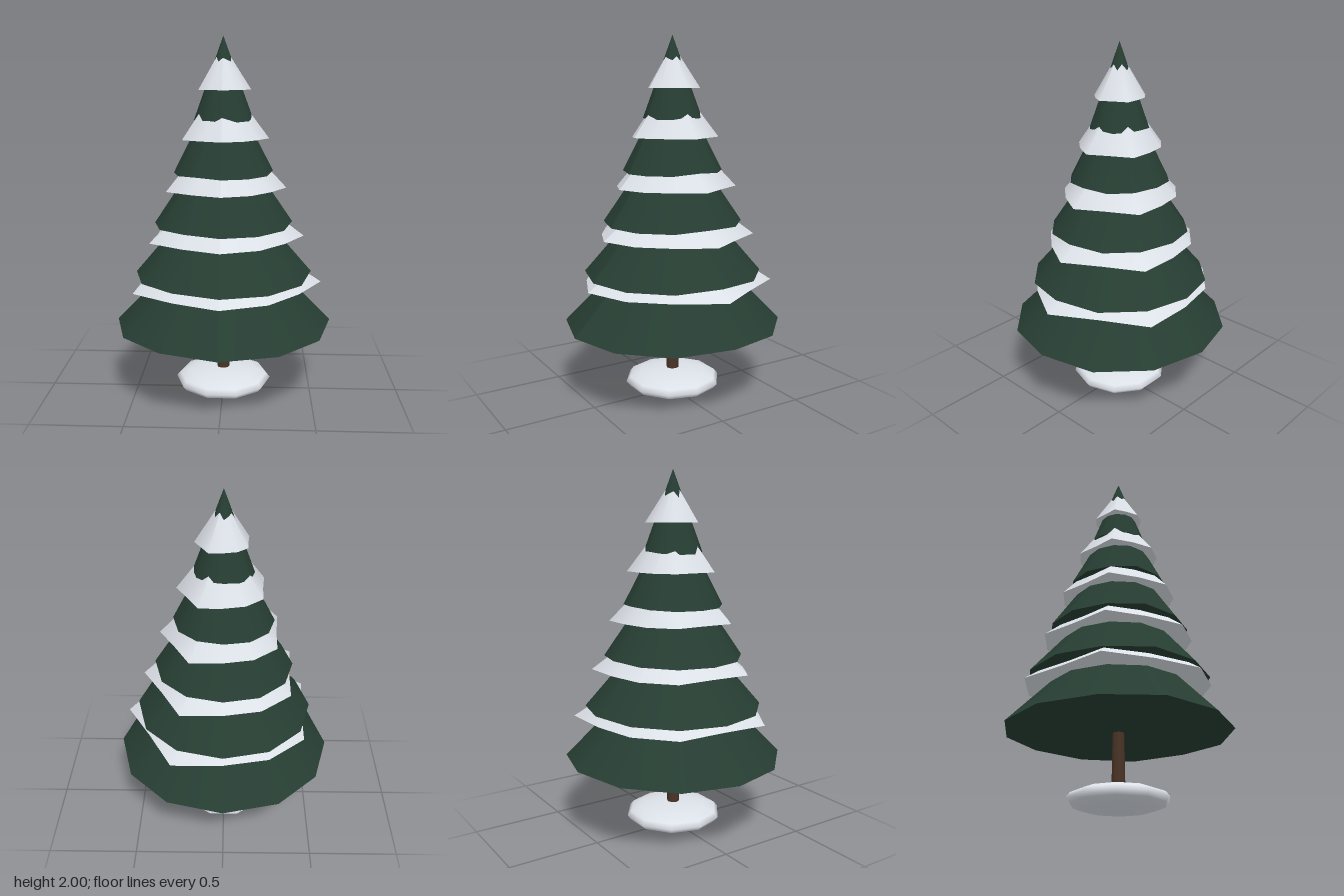
import * as THREE from 'three';

export function createModel() {
  const tree = new THREE.Group();
  tree.name = 'snowyFirTree';

  const makeMaterial = (name, color) => {
    const m = new THREE.MeshStandardMaterial({ color });
    m.name = name;
    return m;
  };
  const green = makeMaterial('needle green', 0x263d32);
  const snow = makeMaterial('snow white', 0xe4e9f0);
  const bark = makeMaterial('bark brown', 0x4a3427);

  const add = (name, geometry, material, y) => {
    const mesh = new THREE.Mesh(geometry, material);
    mesh.name = name;
    mesh.position.y = y;
    tree.add(mesh);
    return mesh;
  };

  // Twelve-sided cone standing on y = 0; each rim corner is scaled and lifted by its index
  // (corner 0 is at +x, corner 3 at -z)
  const roughCone = (radius, height, scaleAt, liftAt) => {
    const geo = new THREE.ConeGeometry(radius, height, 12).translate(0, height / 2, 0);
    const p = geo.attributes.position;
    for (let i = 0; i < p.count; i++) {
      const x = p.getX(i), z = p.getZ(i);
      if (Math.hypot(x, z) < 0.001) continue;
      const corner = (Math.round(Math.atan2(-z, x) / (Math.PI / 6)) + 12) % 12;
      const s = scaleAt(corner);
      p.setXYZ(i, x * s, p.getY(i) + liftAt(corner), z * s);
    }
    geo.computeVertexNormals();
    return geo;
  };

  // Trunk and the mound of snow at its foot
  add('trunk', new THREE.CylinderGeometry(0.03, 0.036, 0.44, 8), bark, 0.3);
  add('snowMound', new THREE.SphereGeometry(0.27, 10, 8), snow, 0.072).scale.y = 0.067 / 0.27;

  // Branch tiers: rim radius, rim height, cone height
  const branches = [
    [0.605, 0.418, 0.63], [0.492, 0.703, 0.58], [0.382, 0.988, 0.57],
    [0.272, 1.27, 0.54], [0.16, 1.555, 0.445],
  ];
  const lifts = [0.014, 0.006, 0.01, 0.014, 0.006, 0, 0, 0, 0.008, 0, 0, 0.002];
  branches.forEach(([r, y, h], i) => {
    add(`branchTier${i + 1}`, roughCone(r, h, () => 1, (k) => lifts[k]), green, y);
  });

  // Uneven snow skirts, each lying on the tier below
  const skirts = [
    [0.55, 0.655, 0.36], [0.448, 0.92, 0.34], [0.347, 1.19, 0.37],
    [0.249, 1.46, 0.33], [0.15, 1.72, 0.232],
  ];
  const reach = [1, 0.86, 1.01, 0.87, 0.9, 0.94, 0.82, 0.99, 0.88, 0.95, 0.9, 0.87];
  skirts.forEach(([r, y, h], i) => {
    add(`snowSkirt${i + 1}`, roughCone(r, h, (k) => reach[k], () => 0), snow, y);
  });

  return tree;
}
